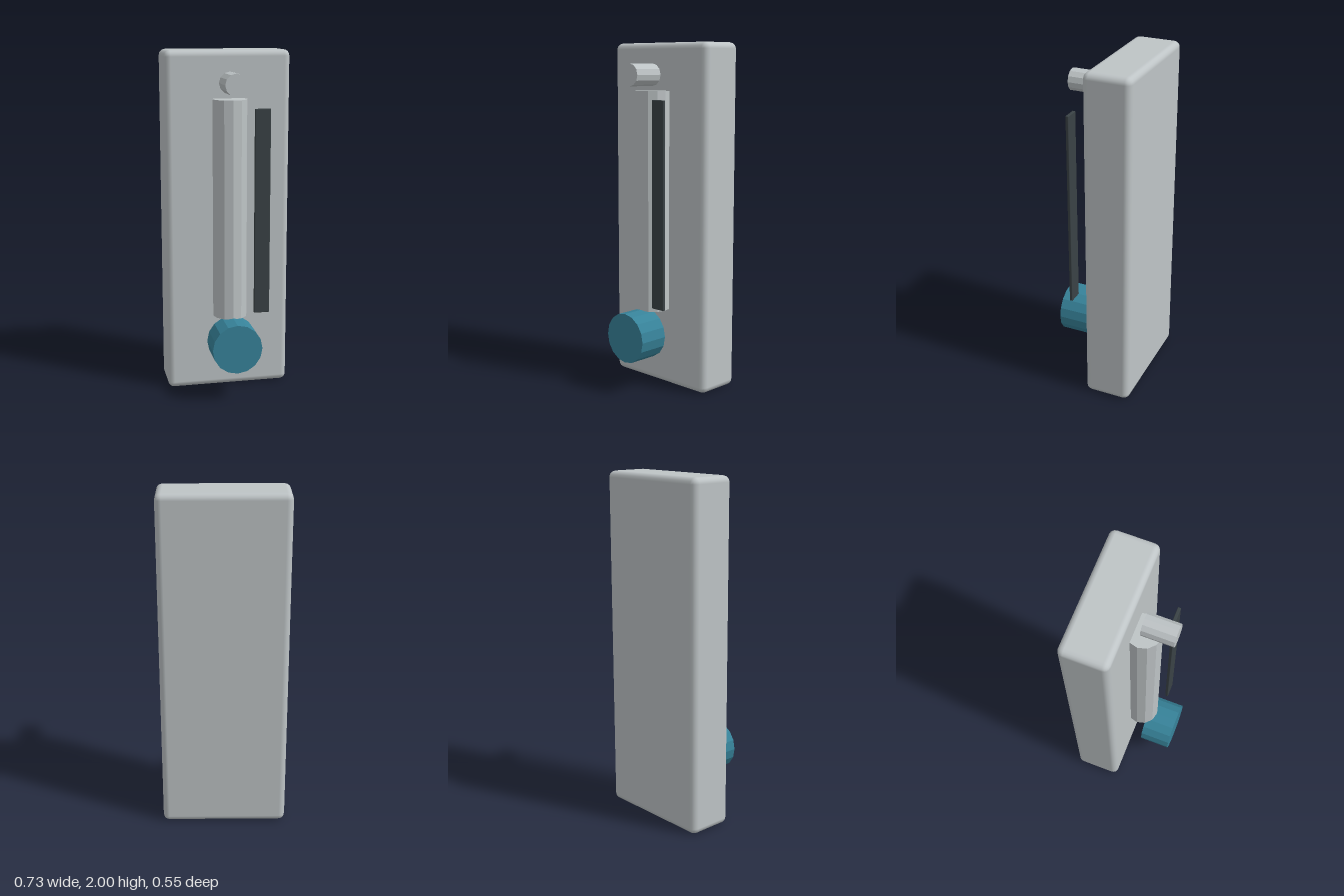
import * as THREE from 'three';
import { RoundedBoxGeometry } from 'three/addons/geometries/RoundedBoxGeometry.js';

const material = (name, color) => {
  const m = new THREE.MeshStandardMaterial({ color });
  m.name = name;
  return m;
};

export function createModel() {
  const grey = material('light grey', 0xbec4c6);
  const teal = material('teal', 0x37839a);
  const dark = material('dark slate', 0x3a4245);
  const model = new THREE.Group();
  model.name = 'wallGauge';

  const add = (name, geometry, mat, x, y, z) => {
    const mesh = new THREE.Mesh(geometry, mat);
    mesh.name = name;
    mesh.position.set(x, y, z);
    model.add(mesh);
    return mesh;
  };

  // Cylinder with flat facets
  const faceted = (radius, length, sides) => {
    const g = new THREE.CylinderGeometry(radius, radius, length, sides).toNonIndexed();
    g.computeVertexNormals();
    return g;
  };

  // Backing block with softly rounded edges
  add('backPlate', new RoundedBoxGeometry(0.726, 2, 0.273, 2, 0.036), grey, 0, 1, -0.1365);

  // Upright tube, half sunk into the block
  add('tube', faceted(0.1, 1.27, 12), grey, 0, 1.095, 0.045);

  // Bulb and hanging pin point forward
  add('bulb', faceted(0.145, 0.181, 16), teal, 0, 0.321, 0.182).rotation.x = Math.PI / 2;
  add('pin', faceted(0.063, 0.181, 12), grey, 0, 1.82, 0.136).rotation.x = Math.PI / 2;

  // Thin scale strip beside the tube
  add('scaleStrip', new RoundedBoxGeometry(0.09, 1.182, 0.018, 2, 0.004), dark, 0.163, 1.093, 0.163);

  return model;
}
